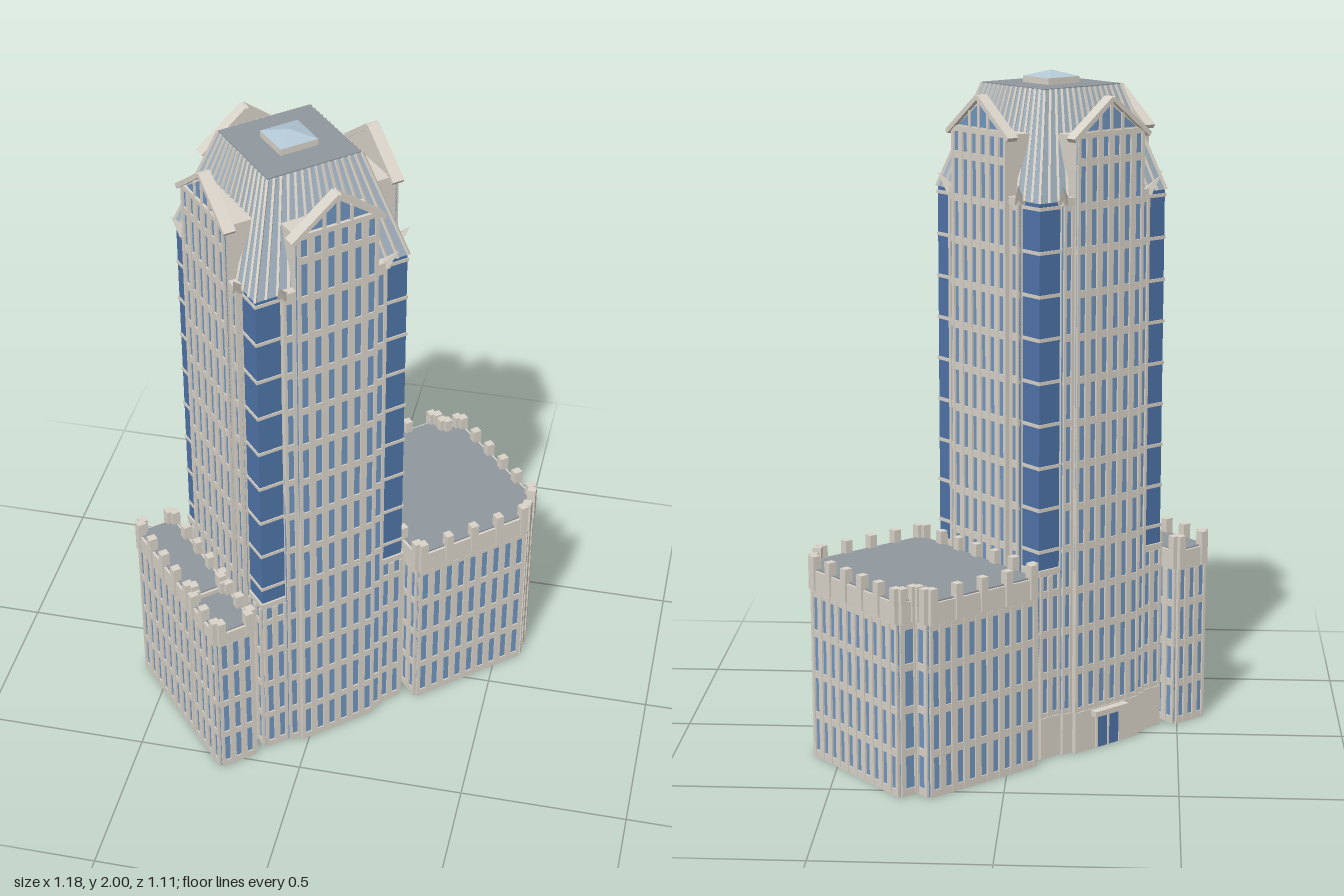
import * as THREE from 'three';
import { mergeGeometries } from 'three/addons/utils/BufferGeometryUtils.js';

const mat = (color, extra = {}) => new THREE.MeshStandardMaterial({ color, flatShading: true, ...extra });
const STONE = mat(0xd9d3c8), GLASS = mat(0x7297c2), DARK = mat(0x4f74a8);
const FLAT = mat(0x8f979d), METAL = mat(0xa3b4c2), PYRAMID = mat(0xb4c8d6);

function add(parent, name, geo, material) {
  const m = new THREE.Mesh(geo, material);
  m.name = name;
  parent.add(m);
  return m;
}

// Box given by its limits on each axis
function span(x0, x1, y0, y1, z0, z1) {
  return new THREE.BoxGeometry(x1 - x0, y1 - y0, z1 - z0)
    .translate((x0 + x1) / 2, (y0 + y1) / 2, (z0 + z1) / 2);
}

// Square bar between two points
function bar(p, q, w, d = w) {
  const a = new THREE.Vector3(...p), b = new THREE.Vector3(...q);
  const m = new THREE.Matrix4().lookAt(b, a, new THREE.Vector3(0, 1, 0)).setPosition(a.clone().lerp(b, 0.5));
  return new THREE.BoxGeometry(w, d, a.distanceTo(b)).applyMatrix4(m);
}

// Window wall on the plane z: glass sheet, upright piers and floor bands
function windowWall(parent, name, x0, x1, y0, y1, z, cols, floors, bandH = 0.022) {
  const g = new THREE.Group();
  g.name = name;
  parent.add(g);
  const frame = [], pitch = (x1 - x0) / cols, w = pitch * 0.48;
  for (let i = 0; i <= cols; i++) {
    const x = x0 + i * pitch;
    frame.push(span(Math.max(x0, x - w / 2), Math.min(x1, x + w / 2), y0, y1, z, z + 0.009));
  }
  for (const y of floors) {
    if (y > y0 && y < y1) frame.push(span(x0, x1, y - bandH / 2, Math.min(y1, y + bandH / 2), z, z + 0.007));
  }
  add(g, 'windowGlass', span(x0, x1, y0, y1, z - 0.004, z + 0.003), GLASS);
  add(g, 'windowFrame', mergeGeometries(frame), STONE);
}

const lowFloors = [0.008, 0.128, 0.255, 0.382, 0.505];
const highFloors = Array.from({ length: 11 }, (_, i) => 0.635 + i * 0.1255);

// Low wing: outline points [x, z], windows below, stone parapet with merlons
function wing(parent, name, pts, winTop, top, merlonTop) {
  const g = new THREE.Group();
  g.name = name;
  parent.add(g);
  const shape = new THREE.Shape(pts.map(([x, z]) => new THREE.Vector2(x, -z)));
  const slab = (y0, y1) => new THREE.ExtrudeGeometry(shape, { depth: y1 - y0, bevelEnabled: false })
    .rotateX(-Math.PI / 2).translate(0, y0, 0);
  add(g, 'wingBody', slab(0, top), STONE);
  add(g, 'wingRoof', slab(top, top + 0.004), FLAT);
  pts.forEach(([ax, az], i) => {
    const [bx, bz] = pts[(i + 1) % pts.length];
    const L = Math.hypot(bx - ax, bz - az), side = new THREE.Group();
    side.name = 'wingSide';
    side.position.set((ax + bx) / 2, 0, (az + bz) / 2);
    side.rotation.y = Math.atan2(az - bz, bx - ax);
    g.add(side);
    windowWall(side, 'wingWindows', -L / 2, L / 2, 0, winTop, 0, Math.max(1, Math.round(L / 0.043)), lowFloors);
    const n = Math.max(1, Math.round(L / 0.088)), blocks = [span(-L / 2, L / 2, winTop, top, 0, 0.008)];
    for (let k = 0; k <= n; k++) {
      const x = -L / 2 + 0.012 + (k / n) * (L - 0.024);
      blocks.push(span(x - 0.012, x + 0.012, winTop + 0.005, merlonTop, -0.012, 0.014));
    }
    add(side, 'parapet', mergeGeometries(blocks), STONE);
  });
}

const H = 0.237, SH = 0.162, BAY = 0.125;          // half widths: tower, shoulder, bay
const SZ = 0.248, BZ = 0.263;                      // front planes of shoulder and bay
const BASE = 0.58, EAVE = 1.655, BAYTOP = 1.84, PEAK = 1.945, ROOF = 1.96, RT = 0.143;

function towerSide(parent, k) {
  const s = new THREE.Group();
  s.name = 'towerSide';
  s.rotation.y = k * Math.PI / 2;
  parent.add(s);
  // Projecting bay with stepped shoulders
  add(s, 'shoulder', span(-SH, SH, 0, EAVE, 0.2, SZ), STONE);
  add(s, 'bay', span(-BAY, BAY, 0, BAYTOP, 0.17, BZ), STONE);
  const floors = [...lowFloors, ...highFloors];
  windowWall(s, 'bayWindows', -BAY, BAY, 0, BAYTOP, BZ, 6, floors);
  for (const d of [-1, 1]) {
    const limits = (a, b) => d > 0 ? [a, b] : [-b, -a];
    windowWall(s, 'shoulderWindows', ...limits(BAY, SH), 0, EAVE, SZ, 1, floors);
    windowWall(s, 'baseWindows', ...limits(SH, H), 0, BASE - 0.02, H, 2, lowFloors);
    // Thin floor lines across the glass corner
    const [x0, x1] = limits(SH, H + 0.003);
    add(s, 'cornerLines', mergeGeometries(highFloors.filter(y => y < EAVE)
      .map(y => span(x0, x1, y - 0.005, y + 0.005, H - 0.01, H + 0.003))), STONE);
    add(s, 'baseLedge', span(x0, x1, BASE - 0.02, BASE, H - 0.02, H + 0.006), STONE);
    add(s, 'shoulderCap', span(...limits(BAY, SH + 0.008), EAVE - 0.01, EAVE + 0.012, 0.21, SZ + 0.012), STONE);
    // Outward leaning spike on the shoulder
    const spike = add(s, 'spike', new THREE.ConeGeometry(0.018, 0.065, 4).translate(0, 0.0325, 0), STONE);
    spike.position.set(d * (SH - 0.004), EAVE, SZ);
    spike.rotation.set(0.5, 0, -d * 0.45);
  }
  // Gable wall, window and raking trim
  const tri = (w, y0, y1) => new THREE.Shape([new THREE.Vector2(-w, y0), new THREE.Vector2(w, y0), new THREE.Vector2(0, y1)]);
  const ext = (shape, z, depth) => new THREE.ExtrudeGeometry(shape, { depth, bevelEnabled: false }).translate(0, 0, z);
  add(s, 'gableWall', ext(tri(BAY, BAYTOP, PEAK - 0.01), BZ - 0.018, 0.018), STONE);
  add(s, 'gableGlass', ext(tri(0.095, BAYTOP + 0.012, PEAK - 0.025), BZ, 0.004), GLASS);
  const gz = BZ - 0.003, trim = [span(-BAY, BAY, BAYTOP - 0.008, BAYTOP + 0.008, BZ, BZ + 0.009)];
  for (const d of [-1, 1]) {
    trim.push(bar([d * 0.142, BAYTOP - 0.012, gz], [0, PEAK - 0.006, gz], 0.036, 0.014));
    trim.push(span(d * 0.042 - 0.005, d * 0.042 + 0.005, BAYTOP, 1.895, BZ, BZ + 0.008));
  }
  trim.push(span(-0.005, 0.005, BAYTOP, PEAK - 0.02, BZ, BZ + 0.008));
  add(s, 'gableTrim', mergeGeometries(trim), STONE);
  // Fanning ribs on the steep roof
  const ribs = [];
  for (let i = 0; i <= 14; i++) {
    const t = -1 + i / 7;
    ribs.push(bar([t * (H + 0.002), EAVE, H + 0.002], [t * RT, ROOF, RT], 0.007, 0.01));
  }
  add(s, 'roofRibs', mergeGeometries(ribs), STONE);
  return s;
}

export function createModel() {
  const model = new THREE.Group();
  model.name = 'towerBuilding';
  const site = new THREE.Group();
  site.name = 'site';
  site.position.set(-0.105, 0, 0.097);
  site.rotation.y = THREE.MathUtils.degToRad(42);
  model.add(site);

  // Tower body
  const tower = new THREE.Group();
  tower.name = 'tower';
  site.add(tower);
  add(tower, 'towerBase', span(-H, H, 0, BASE, -H, H), STONE);
  add(tower, 'glassShaft', span(-H, H, BASE, EAVE, -H, H), DARK);
  const sides = [0, 1, 2, 3].map(k => towerSide(tower, k));

  // Entrance on the back side
  const entry = new THREE.Group();
  entry.name = 'entrance';
  sides[2].add(entry);
  add(entry, 'lobbyWall', mergeGeometries([span(-H, H, 0, 0.125, 0.2, H + 0.011),
    span(-SH, SH, 0, 0.125, 0.2, SZ + 0.011), span(-BAY, BAY, 0, 0.125, 0.2, BZ + 0.011)]), STONE);
  add(entry, 'door', span(-0.045, 0.045, 0, 0.105, 0.25, BZ + 0.014), DARK);
  add(entry, 'doorPosts', mergeGeometries([-0.045, 0, 0.045].map(x => span(x - 0.003, x + 0.003, 0, 0.105, 0.25, BZ + 0.017))), STONE);
  add(entry, 'canopy', span(-0.065, 0.065, 0.105, 0.122, 0.25, BZ + 0.035), STONE);

  // Steep roof, flat top and skylight
  const q = Math.SQRT2;
  add(tower, 'steepRoof', new THREE.CylinderGeometry(RT * q, (H + 0.002) * q, ROOF - EAVE, 4, 1)
    .rotateY(Math.PI / 4).translate(0, (ROOF + EAVE) / 2, 0), METAL);
  add(tower, 'flatTop', span(-RT, RT, ROOF - 0.004, ROOF + 0.003, -RT, RT), FLAT);
  add(tower, 'skylightBase', span(-0.058, 0.058, ROOF, 1.982, -0.058, 0.058), STONE);
  add(tower, 'skylight', new THREE.ConeGeometry(0.058 * q, 0.018, 4)
    .rotateY(Math.PI / 4).translate(0, 1.991, 0), PYRAMID);

  // Low wings on both sides of the tower
  wing(site, 'largeWing', [[0.28, 0.272], [0.662, 0.272], [0.727, 0.208], [0.727, -0.214],
    [0.665, -0.214], [0.665, -0.27], [0.28, -0.27]], 0.51, 0.575, 0.618);
  wing(site, 'smallWingRear', [[-0.394, 0.075], [-0.28, 0.075], [-0.28, -0.268], [-0.394, -0.268]], 0.49, 0.55, 0.597);
  wing(site, 'smallWingFront', [[-0.394, 0.246], [-0.28, 0.246], [-0.28, 0.085], [-0.394, 0.085]], 0.49, 0.535, 0.58);
  return model;
}
